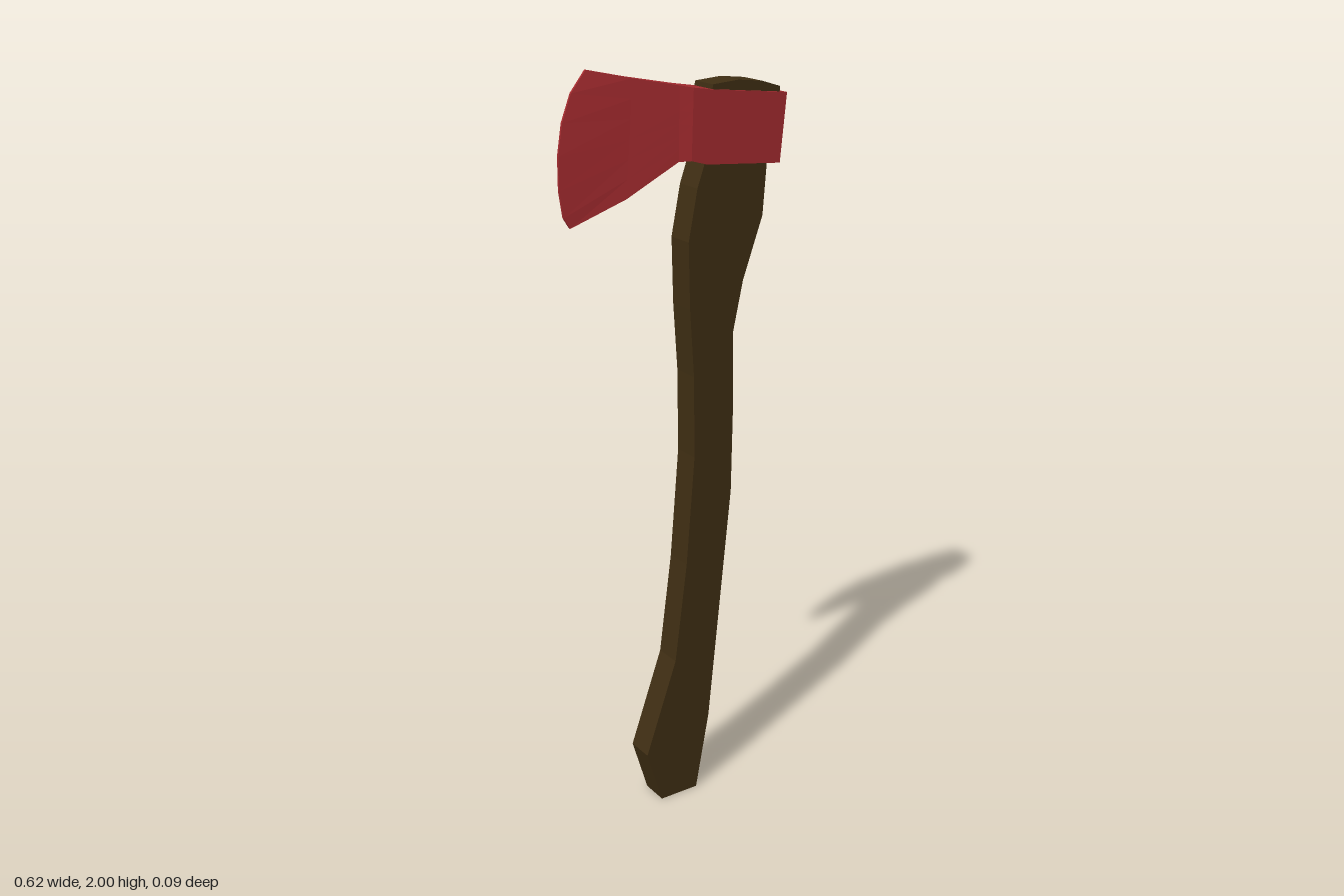
import * as THREE from 'three';

const wood = new THREE.MeshStandardMaterial({ color: 0x3f2e13, flatShading: true });
wood.name = 'dark wood';
const paint = new THREE.MeshStandardMaterial({ color: 0xa52b2f, flatShading: true });
paint.name = 'red metal';

// Curved wooden handle: side outline with constant thickness
function makeHandle() {
  const outline = [
    [-0.055, 0], [0.06, 0], [0.1, 0.22], [0.165, 0.88], [0.168, 1.1], [0.165, 1.32],
    [0.193, 1.45], [0.25, 1.61], [0.26, 1.74], [0.295, 1.915], [0.295, 1.925],
    [0.24, 1.942], [0.17, 1.95], [0.095, 1.945], [0.075, 1.765], [0.052, 1.7],
    [0.027, 1.57], [0.032, 1.4], [0.045, 1.22], [0.048, 1.0], [0.025, 0.7],
    [-0.01, 0.42], [-0.102, 0.155],
  ].map(([x, y]) => new THREE.Vector2(x, y));
  const depth = 0.076;
  const geometry = new THREE.ExtrudeGeometry(new THREE.Shape(outline), { depth, bevelEnabled: false });
  geometry.translate(0, 0, -depth / 2);
  return new THREE.Mesh(geometry, wood);
}

// Axe head: upright sections lofted from the butt to the curved cutting edge
function makeHead() {
  const rows = 7;
  const straight = (bottom, top) => Array.from({ length: rows }, (_, j) => {
    const t = j / (rows - 1);
    return [bottom[0] + (top[0] - bottom[0]) * t, bottom[1] + (top[1] - bottom[1]) * t];
  });
  const sections = [
    { half: 0.045, line: straight([0.295, 1.738], [0.312, 1.91]) },
    { half: 0.045, line: straight([0.075, 1.757], [0.09, 1.934]) },
    { half: 0.045, line: straight([0.03, 1.77], [0.035, 1.943]) },
    { half: 0.037, line: straight([-0.002, 1.77], [0, 1.95]) },
    { half: 0.021, line: straight([-0.14, 1.694], [-0.12, 1.974]) },
    { half: 0.003, line: [[-0.285, 1.638], [-0.302, 1.665], [-0.312, 1.73], [-0.312, 1.81],
      [-0.3, 1.885], [-0.275, 1.95], [-0.235, 2]] },
  ];

  // Each ring climbs the front face and descends the back face
  const ringSize = rows * 2;
  const positions = [];
  for (const { half, line } of sections) {
    for (const [x, y] of line) positions.push(x, y, half);
    for (const [x, y] of [...line].reverse()) positions.push(x, y, -half);
  }
  const index = [];
  const quad = (a, b, c, d) => index.push(a, b, c, a, c, d);
  for (let i = 0; i < sections.length - 1; i++) {
    for (let j = 0; j < ringSize; j++) {
      const k = (j + 1) % ringSize;
      const a = i * ringSize, b = a + ringSize;
      quad(b + j, a + j, a + k, b + k);
    }
  }
  // Close the butt and the cutting edge
  const last = (sections.length - 1) * ringSize;
  for (let j = 0; j < rows - 1; j++) {
    const back = ringSize - 1 - j;
    quad(j, back, back - 1, j + 1);
    quad(last + back, last + j, last + j + 1, last + back - 1);
  }
  const indexed = new THREE.BufferGeometry();
  indexed.setAttribute('position', new THREE.Float32BufferAttribute(positions, 3));
  indexed.setIndex(index);
  const geometry = indexed.toNonIndexed();
  geometry.computeVertexNormals();
  return new THREE.Mesh(geometry, paint);
}

export function createModel() {
  const axe = new THREE.Group();
  axe.name = 'axe';
  const handle = makeHandle();
  handle.name = 'handle';
  const head = makeHead();
  head.name = 'axeHead';
  axe.add(handle, head);
  return axe;
}
